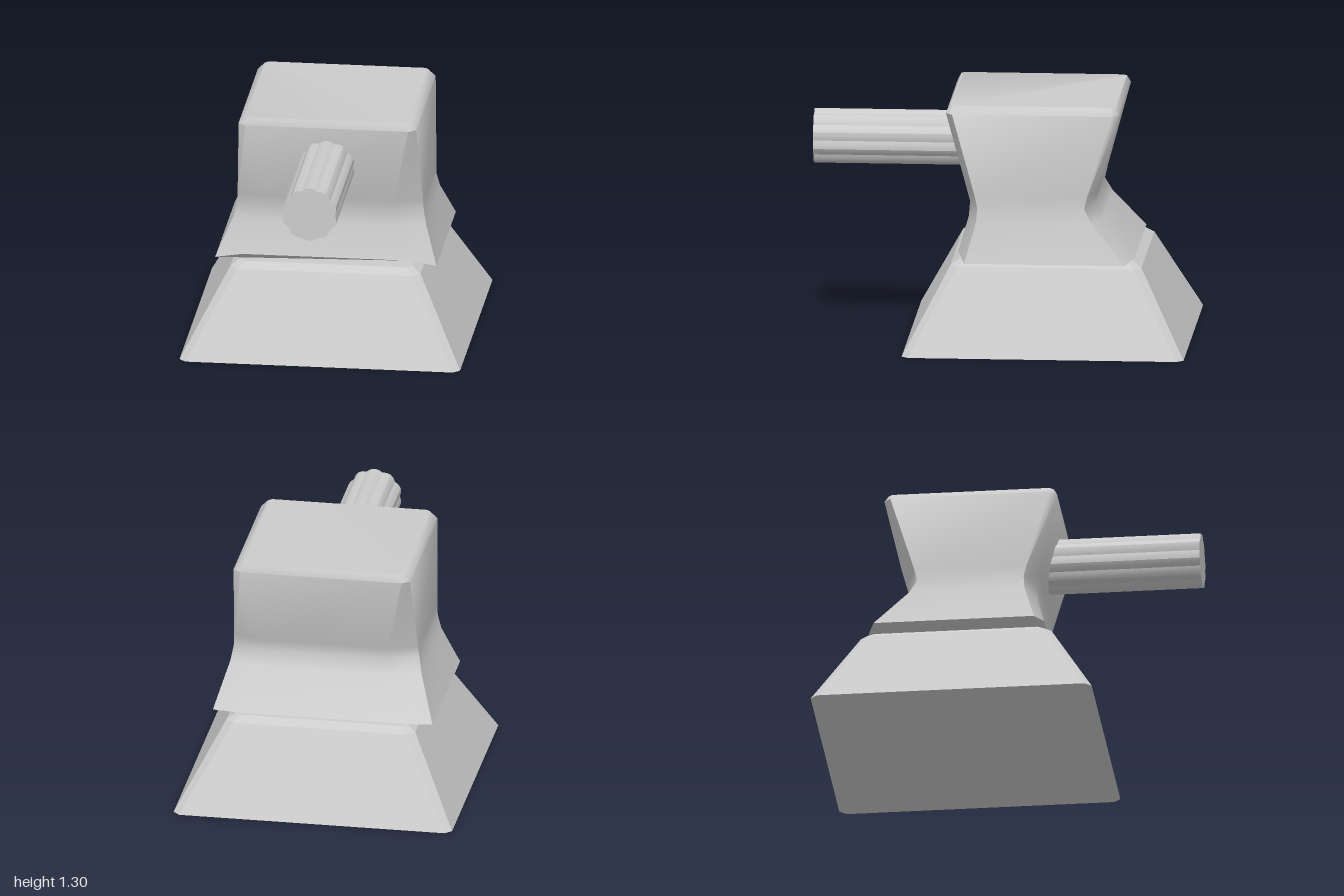
import * as THREE from 'three';
import { toCreasedNormals } from 'three/addons/utils/BufferGeometryUtils.js';

// Chamfered rectangle at height y; dx, dz cut the corners, lift raises the front edge
function ring({ y, x0, x1, front, back, dx, dz, lift = 0, backLift = 0 }) {
  return [
    [x1 - dx, y + lift, front], [x1, y, front - dz],
    [x1, y, back + dz], [x1 - dx, y + backLift, back],
    [x0 + dx, y + backLift, back], [x0, y, back + dz],
    [x0, y, front - dz], [x0 + dx, y + lift, front],
  ];
}

// Closed solid through a stack of rings, bottom to top
function loft(rings, crease) {
  const n = rings[0].length, index = [];
  for (let i = 0; i < rings.length - 1; i++) {
    for (let j = 0; j < n; j++) {
      const a = i * n + j, b = i * n + (j + 1) % n;
      index.push(a, b, b + n, a, b + n, a + n);
    }
  }
  const top = (rings.length - 1) * n;
  for (let j = 1; j < n - 1; j++) {
    index.push(0, j + 1, j, top, top + j, top + j + 1);
  }
  const geometry = new THREE.BufferGeometry();
  geometry.setAttribute('position', new THREE.Float32BufferAttribute(rings.flat(2), 3));
  geometry.setIndex(index);
  return toCreasedNormals(geometry, crease);
}

export function createModel() {
  const group = new THREE.Group();
  const material = new THREE.MeshStandardMaterial({ color: 0xcccccc });
  const add = (name, geometry) => {
    const mesh = new THREE.Mesh(geometry, material);
    mesh.name = name;
    group.add(mesh);
    return mesh;
  };

  // Pyramid base with bevelled corners and rim
  const baseRing = (y, half, cut) => ring({
    y, x0: -half, x1: half, front: half - 0.255, back: -half - 0.255, dx: cut, dz: cut,
  });
  add('base', loft([
    baseRing(0, 0.745, 0.035), baseRing(0.445, 0.505, 0.04), baseRing(0.475, 0.46, 0.03),
  ], 0.2));

  // Turret: flared skirt, narrow waist, wider softly bevelled head
  add('turret', loft([
    ring({ y: 0.478, x0: -0.59, x1: 0.585, front: 0.21, back: -0.72, dx: 0.15, dz: 0.04, lift: 0.037, backLift: 0.01 }),
    ring({ y: 0.69, x0: -0.5, x1: 0.522, front: 0.16, back: -0.55, dx: 0.16, dz: 0.05 }),
    ring({ y: 0.765, x0: -0.482, x1: 0.51, front: 0.155, back: -0.51, dx: 0.17, dz: 0.05 }),
    ring({ y: 0.83, x0: -0.477, x1: 0.507, front: 0.17, back: -0.525, dx: 0.15, dz: 0.05 }),
    ring({ y: 1.26, x0: -0.457, x1: 0.487, front: 0.275, back: -0.64, dx: 0.04, dz: 0.035 }),
    ring({ y: 1.298, x0: -0.42, x1: 0.45, front: 0.255, back: -0.62, dx: 0.02, dz: 0.02 }),
  ], 0.9));

  // Fluted barrel: ten lobes around the bore axis
  const lobes = 10, steps = 4, outline = [];
  for (let i = 0; i < lobes * steps; i++) {
    const angle = Math.PI / 2 + (i / (lobes * steps)) * Math.PI * 2;
    const radius = 0.135 + 0.012 * Math.abs(Math.cos((i / steps) * Math.PI));
    outline.push(new THREE.Vector2(Math.cos(angle) * radius, Math.sin(angle) * radius));
  }
  const barrel = new THREE.ExtrudeGeometry(new THREE.Shape(outline), { depth: 0.95, bevelEnabled: false });
  add('barrel', toCreasedNormals(barrel, 0.4)).position.set(0.012, 1.037, 0.05);

  return group;
}
